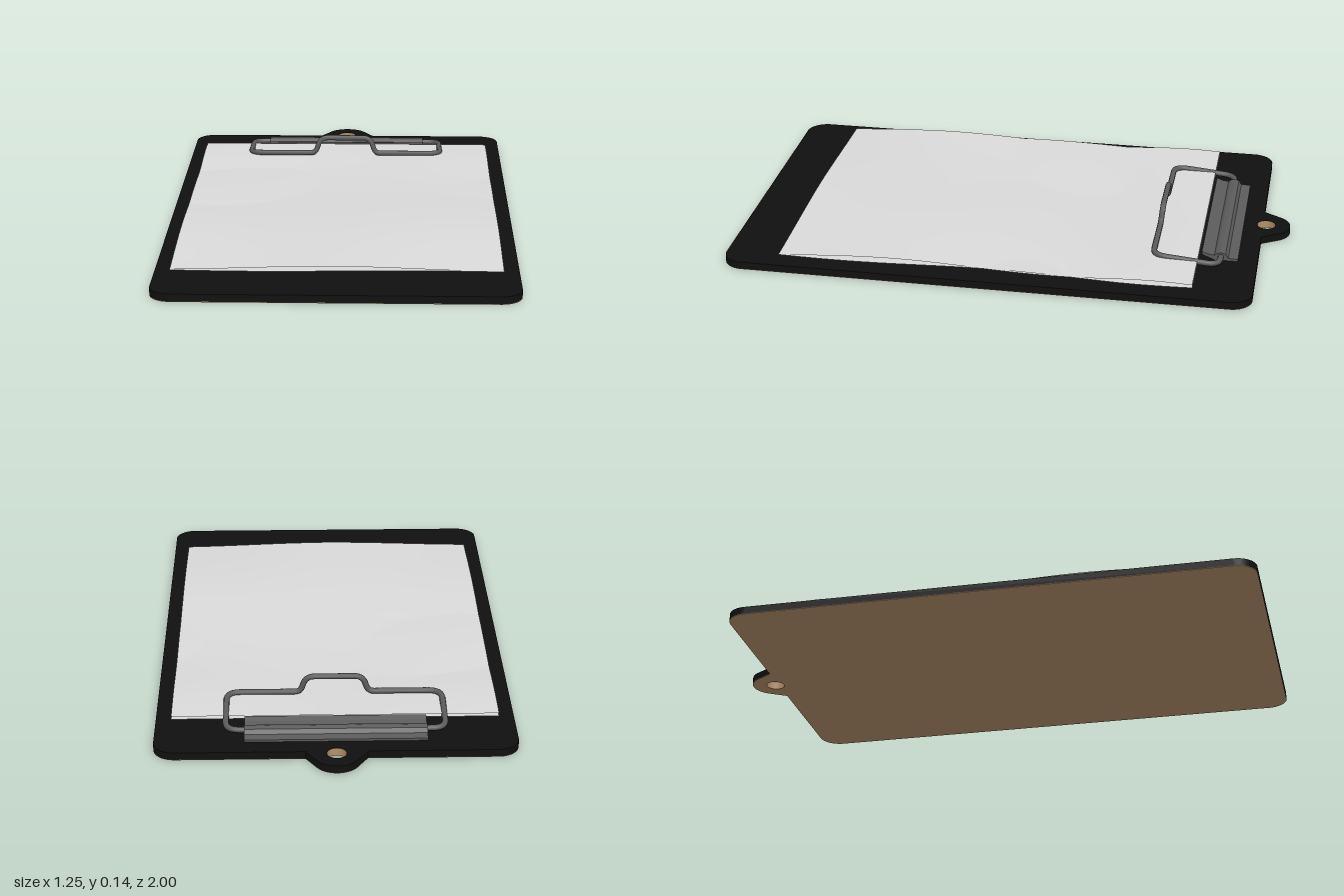
import * as THREE from 'three';

const material = (name, color, side = THREE.FrontSide) => {
  const m = new THREE.MeshStandardMaterial({ color, side });
  m.name = name;
  return m;
};

// Board outline, drawn with the hanging tab towards +y
function boardShape() {
  const w = 0.625, back = 0.9, front = -1, r = 0.075;
  const s = new THREE.Shape();
  s.moveTo(-w + r, front);
  s.lineTo(w - r, front);
  s.absarc(w - r, front + r, r, -Math.PI / 2, 0, false);
  s.lineTo(w, back - r);
  s.absarc(w - r, back - r, r, 0, Math.PI / 2, false);
  s.lineTo(0.106, back);
  s.absarc(0, 0.92, 0.08, Math.PI / 6, Math.PI * 5 / 6, false);
  s.lineTo(-0.106, back);
  s.lineTo(-w + r, back);
  s.absarc(-w + r, back - r, r, Math.PI / 2, Math.PI, false);
  s.lineTo(-w, front + r);
  s.absarc(-w + r, front + r, r, Math.PI, Math.PI * 1.5, false);
  const hole = new THREE.Path();
  hole.absarc(0, 0.912, 0.034, 0, Math.PI * 2, true);
  s.holes.push(hole);
  return s;
}

// Slab of the board shape lying flat
function slab(y, depth) {
  const g = new THREE.ExtrudeGeometry(boardShape(), { depth, bevelEnabled: false, curveSegments: 12 });
  return g.rotateX(-Math.PI / 2).translate(0, y, 0);
}

// Polyline with rounded corners
function roundedPath(points, radii) {
  const path = new THREE.CurvePath();
  let last = points[0];
  for (let i = 1; i < points.length - 1; i++) {
    const p = points[i], r = radii[i];
    const a = p.clone().add(points[i - 1].clone().sub(p).setLength(r));
    const b = p.clone().add(points[i + 1].clone().sub(p).setLength(r));
    path.add(new THREE.LineCurve3(last, a));
    path.add(new THREE.QuadraticBezierCurve3(a, p, b));
    last = b;
  }
  path.add(new THREE.LineCurve3(last, points[points.length - 1]));
  return path;
}

// Wavy sheet, held flat at the clip and loose towards the front
function sheet(base, amp, phase) {
  const g = new THREE.PlaneGeometry(1.14, 1.49, 16, 24).rotateX(-Math.PI / 2).translate(0, 0, 0.055);
  const p = g.attributes.position;
  for (let i = 0; i < p.count; i++) {
    const x = p.getX(i), z = p.getZ(i);
    const loose = Math.min(1, (z + 0.69) / 0.3);
    const edge = 0.35 + 0.65 * Math.abs(x) / 0.57;
    const wave = Math.sin(z * 5.2 - 0.5 + phase) * edge + 0.5 * Math.sin(x * 5 + z * 2 + phase * 2);
    p.setY(i, base + amp * loose * wave);
  }
  g.computeVertexNormals();
  return g;
}

export function createModel() {
  const group = new THREE.Group();
  const black = material('black board', 0x101010);
  const wood = material('brown fibreboard', 0xb4906b, THREE.DoubleSide);
  const white = material('paper', 0xdadada, THREE.DoubleSide);
  const steel = material('dark steel', 0x5c5c5c);
  const add = (name, geometry, mat) => {
    const mesh = new THREE.Mesh(geometry, mat);
    mesh.name = name;
    group.add(mesh);
    return mesh;
  };

  // Board with a bare underside and bare hole wall
  add('board', slab(0.002, 0.026), black);
  add('boardUnderside', slab(0, 0.002), wood);
  add('holeWall', new THREE.CylinderGeometry(0.0335, 0.0335, 0.0275, 24, 1, true)
    .translate(0, 0.014, -0.912), wood);

  // Loose paper
  add('topSheet', sheet(0.054, 0.012, 0), white);
  add('bottomSheet', sheet(0.043, 0.007, 2.2), white);

  // Clip plate: flat foot, hump over the wire, sloping jaw
  const profile = new THREE.Shape([
    [0.83, 0.028], [0.83, 0.036], [0.795, 0.038], [0.785, 0.053], [0.77, 0.058], [0.755, 0.054],
    [0.745, 0.046], [0.72, 0.05], [0.70, 0.058], [0.70, 0.046], [0.745, 0.028],
  ].map(([a, y]) => new THREE.Vector2(a, y)));
  add('clipPlate', new THREE.ExtrudeGeometry(profile, { depth: 0.63, bevelEnabled: false })
    .translate(0, 0, -0.315).rotateY(Math.PI / 2), steel);

  // Bent wire lever with a raised thumb grip
  const half = [
    [0.30, 0.042, -0.768, 0], [0.38, 0.042, -0.768, 0.05], [0.38, 0.063, -0.53, 0.05],
    [0.12, 0.063, -0.53, 0.02], [0.1, 0.125, -0.535, 0.03],
  ];
  const all = [...half, ...half.map(([x, y, z, r]) => [-x, y, z, r]).reverse()];
  const path = roundedPath(all.map(([x, y, z]) => new THREE.Vector3(x, y, z)), all.map((q) => q[3]));
  add('wireLever', new THREE.TubeGeometry(path, 160, 0.0105, 10, false), steel);

  return group;
}
